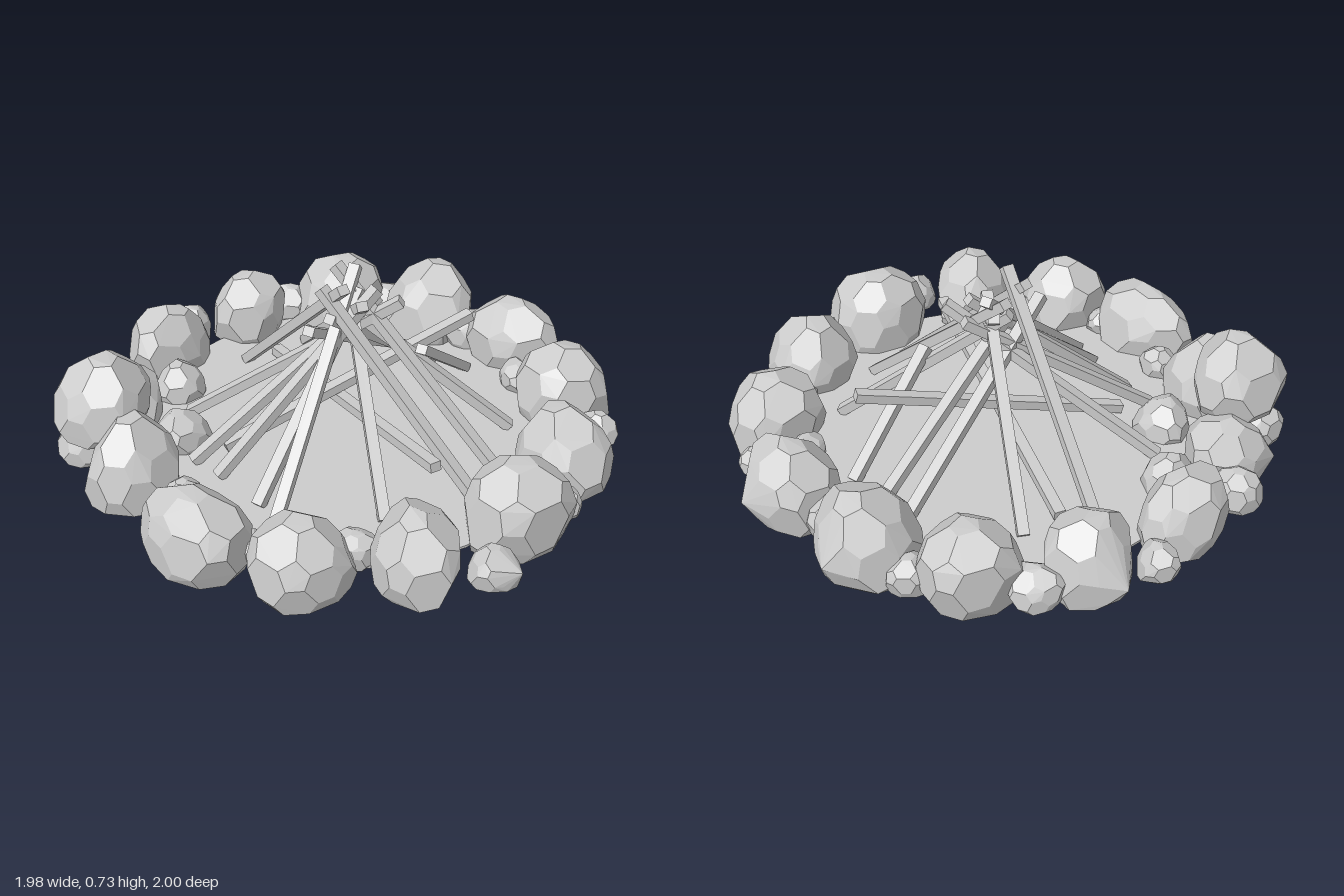
import * as THREE from 'three';
import { ConvexGeometry } from 'three/addons/geometries/ConvexGeometry.js';

const material = new THREE.MeshStandardMaterial({ color: 0xcccccc, flatShading: true });

let seed = 23;
const rand = () => {
  seed = (seed * 16807) % 2147483647;
  return seed / 2147483647;
};

// Faceted boulder: a truncated, jittered icosahedron cut flat underneath
// and fitted to the given footprint and height range.
function makeRock(name, x, z, rx, rz, y0, y1, spike) {
  const ico = new THREE.IcosahedronGeometry(1, 0).attributes.position;
  const turn = new THREE.Matrix4().makeRotationY(rand() * 6.28)
    .multiply(new THREE.Matrix4().makeRotationX(-Math.atan(1.618) + (rand() - 0.5) * 0.5));
  const stretch = new Map();
  const corner = (i) => {
    const v = new THREE.Vector3().fromBufferAttribute(ico, i);
    const key = v.toArray().map((n) => Math.round(n * 10)).join();
    if (!stretch.has(key)) stretch.set(key, 0.8 + 0.4 * rand());
    return v.multiplyScalar(stretch.get(key)).applyMatrix4(turn);
  };
  const points = [];
  for (let i = 0; i < ico.count; i += 3) {
    for (let k = 0; k < 3; k++) {
      points.push(corner(i + k).lerp(corner(i + (k + 1) % 3), 0.3));
    }
  }
  const tiltX = (rand() - 0.5) * 0.2, tiltZ = (rand() - 0.5) * 0.2;
  for (const p of points) p.y = Math.max(p.y, -0.45 + tiltX * p.x + tiltZ * p.z);
  const box = new THREE.Box3().setFromPoints(points);
  const size = box.getSize(new THREE.Vector3());
  const mid = box.getCenter(new THREE.Vector3());
  for (const p of points) {
    p.set(x + (p.x - mid.x) / size.x * 2 * rx,
      y0 + (p.y - box.min.y) / size.y * (y1 - y0),
      z + (p.z - mid.z) / size.z * 2 * rz);
  }
  if (spike) points.push(new THREE.Vector3(...spike));
  const mesh = new THREE.Mesh(new ConvexGeometry(points), material);
  mesh.name = name;
  return mesh;
}

// Square stick between two points
function makeStick(a, b) {
  const from = new THREE.Vector3(...a), to = new THREE.Vector3(...b);
  const mesh = new THREE.Mesh(new THREE.BoxGeometry(0.042, 0.036, from.distanceTo(to)), material);
  mesh.position.copy(from).add(to).multiplyScalar(0.5);
  mesh.lookAt(to);
  mesh.name = 'stick';
  return mesh;
}

export function createModel() {
  const model = new THREE.Group();
  model.name = 'campfire';

  // Flat bed inside the ring
  const bed = new THREE.Mesh(new THREE.CylinderGeometry(0.79, 0.79, 0.01, 32), material);
  bed.position.y = 0.07;
  bed.name = 'fireBed';
  model.add(bed);

  // Large stones: x, z, half width, half depth, bottom, top, optional spike
  const stones = new THREE.Group();
  stones.name = 'stoneRing';
  [
    [-0.17, -0.79, 0.19, 0.18, 0.01, 0.35, [-0.19, 0.15, -1.0]],
    [0.23, -0.80, 0.19, 0.16, 0.01, 0.32, [0.28, 0.13, -0.98]],
    [0.575, -0.60, 0.17, 0.18, 0.02, 0.34],
    [0.78, -0.27, 0.175, 0.18, 0.02, 0.34],
    [0.81, 0.11, 0.178, 0.2, 0.01, 0.34],
    [0.67, 0.49, 0.17, 0.18, 0.02, 0.33],
    [0.38, 0.75, 0.165, 0.165, 0.01, 0.31],
    [0, 0.84, 0.21, 0.16, 0.01, 0.3],
    [-0.4, 0.715, 0.165, 0.175, 0.01, 0.34],
    [-0.61, 0.64, 0.17, 0.185, 0.19, 0.48],
    [-0.71, 0.43, 0.155, 0.14, 0.02, 0.27, [-0.85, 0.1, 0.58]],
    [-0.84, 0.07, 0.14, 0.185, 0.02, 0.32],
    [-0.76, -0.32, 0.15, 0.17, 0.02, 0.32, [-0.95, 0.13, -0.34]],
    [-0.52, -0.64, 0.16, 0.18, 0.02, 0.33],
  ].forEach((s) => stones.add(makeRock('largeStone', ...s)));

  // Small stones filling the gaps: x, z, radius
  [
    [-0.665, 0.215, 0.105], [-0.44, 0.445, 0.105], [-0.87, 0.34, 0.09],
    [-0.91, -0.145, 0.085], [-0.7, -0.52, 0.095], [-0.375, -0.78, 0.085],
    [0.02, -0.78, 0.1], [0.45, -0.785, 0.065], [0.36, -0.62, 0.075],
    [0.67, -0.41, 0.06], [0.775, -0.5, 0.08], [0.895, -0.07, 0.06],
    [0.88, 0.365, 0.085], [0.465, 0.565, 0.075], [0.17, 0.77, 0.065],
    [-0.18, 0.72, 0.075], [-0.68, 0.69, 0.1],
  ].forEach(([x, z, r]) => {
    const spike = x === 0.88 ? [0.98, 0.12, 0.35] : undefined;
    stones.add(makeRock('smallStone', x, z, r, r, 0.11 - 0.75 * r, 0.11 + 0.85 * r, spike));
  });
  model.add(stones);

  // Sticks leaning together over the bed: foot x, z, then tip x, z, y
  const tepee = new THREE.Group();
  tepee.name = 'leaningSticks';
  [
    [-0.14, -0.58, -0.02, 0.2, 0.59],
    [0, -0.56, 0.01, 0.12, 0.61],
    [0.14, -0.59, 0.215, -0.16, 0.42],
    [0.49, -0.36, -0.06, 0, 0.62],
    [0.6, -0.1, -0.1, -0.06, 0.71],
    [0.6, 0.065, -0.05, 0.09, 0.7],
    [0.44, 0.37, -0.05, -0.07, 0.63],
    [0.14, 0.59, -0.04, -0.1, 0.71],
    [0.04, 0.57, 0, -0.07, 0.64],
    [-0.18, 0.53, 0.07, -0.08, 0.66],
    [-0.31, 0.52, 0.04, -0.13, 0.6],
    [-0.53, 0.3, 0.15, -0.12, 0.62],
    [-0.59, -0.11, 0.05, 0.09, 0.73],
    [-0.49, -0.36, 0.08, 0.02, 0.64],
  ].forEach(([fx, fz, tx, tz, ty]) => tepee.add(makeStick([fx, 0.08, fz], [tx, ty, tz])));
  model.add(tepee);

  // Long sticks lying low across the bed
  const crossing = new THREE.Group();
  crossing.name = 'lyingSticks';
  crossing.add(
    makeStick([-0.26, 0.1, 0.4], [0.2, 0.39, -0.51]),
    makeStick([-0.52, 0.1, -0.21], [0.55, 0.28, 0.23]),
  );
  model.add(crossing);
  return model;
}
